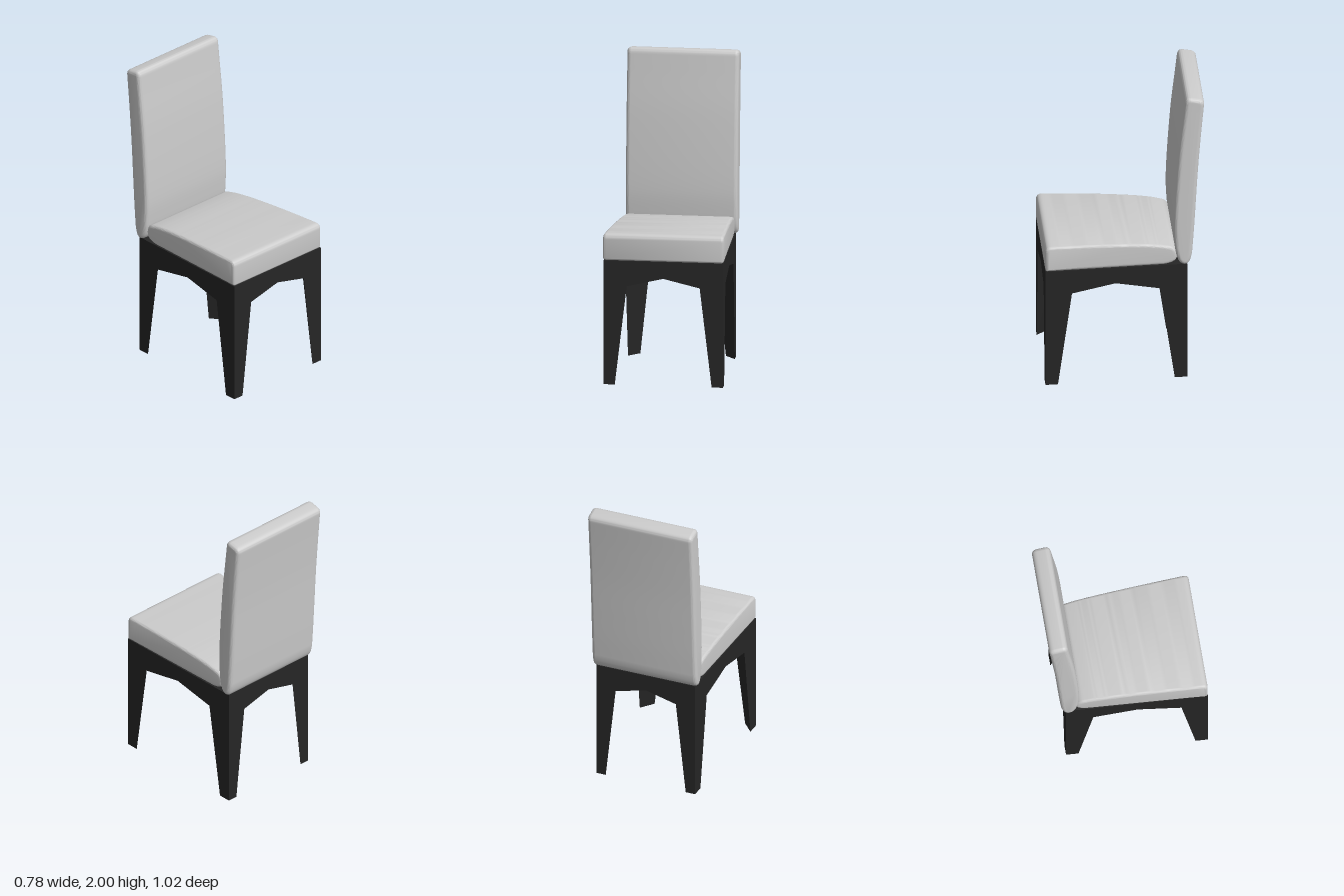
import * as THREE from 'three';
import { toCreasedNormals } from 'three/addons/utils/BufferGeometryUtils.js';

const fabric = new THREE.MeshStandardMaterial({ color: 0xcccccc });
const wood = new THREE.MeshStandardMaterial({ color: 0x262626, flatShading: true });

// Half width of the frame, narrowing towards the back
const halfWidth = (z) => THREE.MathUtils.mapLinear(z, -0.4, 0.51, 0.34, 0.385);

// One quarter of the frame: a tapered corner leg with half an arched apron on each side
function frameCorner(side, [outer, foot, knee], flip) {
  const midZ = 0.06, kneeY = 0.645, apexY = 0.7, topY = 0.81;
  const p = (f, y, z) => [side * f * halfWidth(z), y, z];
  const O0 = p(1, 0, outer), A0 = p(0.81, 0, outer), B0 = p(1, 0, foot);
  const AK = p(0.61, kneeY, outer), BK = p(1, kneeY, knee);
  const AX = p(0, apexY, outer), BX = p(1, apexY, midZ), CX = p(0, apexY, midZ);
  const OT = p(1, topY, outer), AT = p(0, topY, outer), BT = p(1, topY, midZ), CT = p(0, topY, midZ);
  const faces = [
    [O0, OT, AK, A0], [OT, AT, AX, AK],   // front or back face
    [O0, B0, BK, OT], [OT, BK, BX, BT],   // side face
    [B0, A0, AK, BK], [O0, A0, B0],       // inner leg face and foot
    [OT, BT, CT, AT], [AK, AX, CX, BX, BK], // top and underside
  ];
  const pos = [];
  for (const face of faces) {
    const f = flip ? [...face].reverse() : face;
    for (let i = 1; i < f.length - 1; i++) pos.push(...f[0], ...f[i], ...f[i + 1]);
  }
  const geo = new THREE.BufferGeometry();
  geo.setAttribute('position', new THREE.Float32BufferAttribute(pos, 3));
  geo.computeVertexNormals();
  return new THREE.Mesh(geo, wood);
}

// Upholstered part: a side profile (z, y) swept across the width with rounded edges
function cushion(name, profile, width, r, taper) {
  let geo = new THREE.ExtrudeGeometry(profile, {
    depth: width - 2 * r, steps: 1, curveSegments: 8,
    bevelEnabled: true, bevelSize: r, bevelOffset: -r, bevelThickness: r, bevelSegments: 6,
  });
  geo.translate(0, 0, -(width - 2 * r) / 2);
  geo.rotateY(-Math.PI / 2);
  if (taper) {
    const pos = geo.attributes.position;
    for (let i = 0; i < pos.count; i++) pos.setX(i, pos.getX(i) * taper(pos.getZ(i)));
  }
  geo = toCreasedNormals(geo, 0.6);
  const mesh = new THREE.Mesh(geo, fabric);
  mesh.name = name;
  return mesh;
}

const v = (x, y) => new THREE.Vector2(x, y);

export function createModel() {
  const model = new THREE.Group();
  model.name = 'diningChair';

  const frame = new THREE.Group();
  frame.name = 'frame';
  for (const side of [1, -1]) {
    const front = frameCorner(side, [0.51, 0.43, 0.34], side < 0);
    front.name = 'frontLegAndApron';
    const back = frameCorner(side, [-0.4, -0.32, -0.225], side > 0);
    back.name = 'backLegAndApron';
    frame.add(front, back);
  }
  model.add(frame);

  // Seat: flat bottom, top sloping gently down to a rounded rear
  const seat = new THREE.Shape();
  seat.moveTo(-0.25, 0.81);
  seat.lineTo(0.495, 0.81);
  seat.quadraticCurveTo(0.51, 0.81, 0.51, 0.825);
  seat.lineTo(0.51, 0.945);
  seat.quadraticCurveTo(0.51, 0.983, 0.47, 0.983);
  seat.splineThru([v(0.2, 0.979), v(-0.05, 0.968), v(-0.2, 0.954), v(-0.29, 0.936)]);
  seat.bezierCurveTo(-0.345, 0.92, -0.345, 0.86, -0.325, 0.835);
  seat.quadraticCurveTo(-0.3, 0.815, -0.25, 0.81);
  model.add(cushion('seat', seat, 0.78, 0.02,
    (z) => THREE.MathUtils.mapLinear(z, -0.33, 0.51, 0.875, 1)));

  // Backrest: curved and leaning backwards
  const back = new THREE.Shape();
  back.moveTo(-0.385, 0.81);
  back.bezierCurveTo(-0.345, 0.81, -0.33, 0.86, -0.322, 0.93);
  back.splineThru([v(-0.316, 1.08), v(-0.325, 1.3), v(-0.347, 1.6), v(-0.375, 1.85), v(-0.388, 1.965)]);
  back.quadraticCurveTo(-0.394, 2.002, -0.425, 1.998);
  back.lineTo(-0.475, 1.989);
  back.quadraticCurveTo(-0.513, 1.98, -0.508, 1.945);
  back.splineThru([v(-0.49, 1.75), v(-0.47, 1.5), v(-0.455, 1.25), v(-0.443, 1.05), v(-0.432, 0.9)]);
  back.bezierCurveTo(-0.425, 0.85, -0.415, 0.81, -0.385, 0.81);
  model.add(cushion('backrest', back, 0.72, 0.025));

  return model;
}
